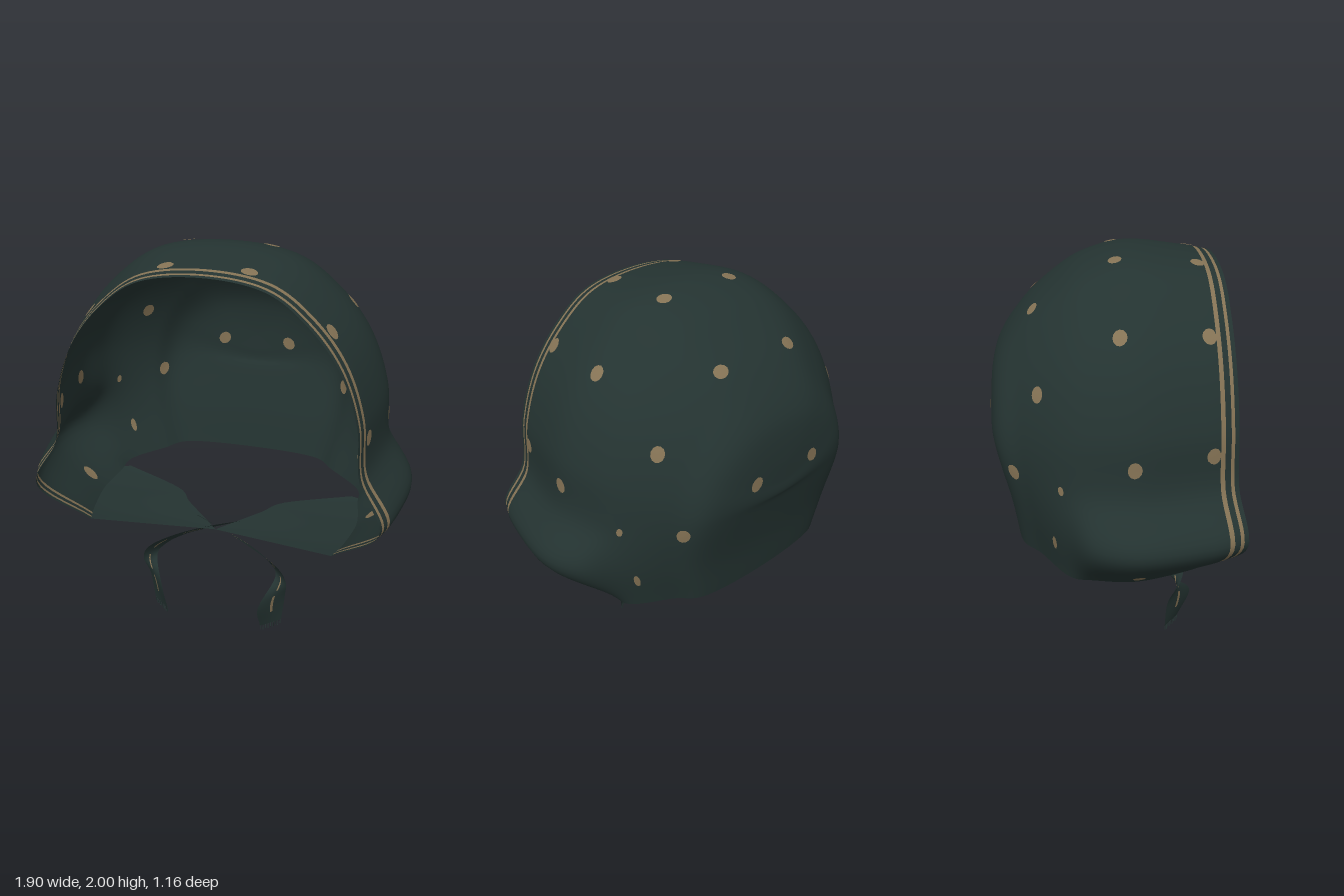
import * as THREE from 'three';
import { mergeVertices } from 'three/addons/utils/BufferGeometryUtils.js';

const cloth = new THREE.MeshStandardMaterial({ color: 0x243331, side: THREE.DoubleSide });
cloth.name = 'dark green cloth';
const tan = new THREE.MeshStandardMaterial({ color: 0x857355, side: THREE.DoubleSide });
tan.name = 'tan print';

const V = (x, y, z) => new THREE.Vector3(x, y, z);
const spline = (pts) => new THREE.CatmullRomCurve3(pts, false, 'catmullrom', 0.5);

// Arches from front rim to back: z, crown height, dome half width, brim half width, chin x, chin y
const ARCHES = [
  [0.505, 1.95, 0.73, 0.84, 0.62, 0.62],
  [0.36, 1.975, 0.77, 0.9, 0.66, 0.6],
  [0.1, 2, 0.82, 0.95, 0.7, 0.58],
  [-0.1, 1.955, 0.79, 0.89, 0.68, 0.58],
  [-0.25, 1.87, 0.72, 0.74, 0.66, 0.595],
  [-0.42, 1.72, 0.57, 0.56, 0.5, 0.62],
  [-0.55, 1.52, 0.42, 0.4, 0.37, 0.63],
  [-0.58, 1.3, 0, 0, 0, 0.63],
];
// Shared dome outline: fractions of half width, and of the drop from crown to waist
const ACROSS = [0, 0.38, 0.64, 0.84, 0.96, 1];
const DOWN = [0, 0.045, 0.2, 0.42, 0.7, 1];
const WAIST = 1.09;
const LAST = ARCHES.length - 1;

const arches = ARCHES.map(([z, crown, width, brim, chinX, chinY]) => {
  const rim = THREE.MathUtils.clamp((z - 0.1) / 0.36, 0, 1); // the rim bows forward at the brim
  const back = THREE.MathUtils.clamp((-0.12 - z) / 0.42, 0, 1); // the back tucks in at the nape
  const half = ACROSS.map((f, i) =>
    V(f * width, crown - DOWN[i] * (crown - WAIST), z + 0.035 * rim * DOWN[i] + (i === 5 ? 0.02 * back : 0)));
  half.push(V(brim, 0.85, z + 0.07 * (rim + back)), V(chinX, chinY, z - 0.04 * rim + 0.1 * back));
  const other = half.slice(1).reverse().map((q) => V(-q.x, q.y, q.z));
  return spline([...other, ...half]);
});

// Curve from rim to back at u (-1 right chin, 0 crown, 1 left chin)
function rib(u) {
  const pts = arches.map((a) => a.getPoint((u + 1) / 2));
  const q = pts[LAST - 1];
  return spline([...pts, V(-q.x, q.y, q.z)]); // mirrored point keeps the back smooth
}
const shellPoint = (u, v) => rib(u).getPoint(v / (LAST + 1));

// Build a sheet from rows of points
function sheet(rows) {
  const n = rows[0].length;
  const index = [];
  for (let r = 0; r < rows.length - 1; r++) {
    for (let c = 0; c < n - 1; c++) {
      const a = r * n + c;
      index.push(a, a + 1, a + n, a + 1, a + n + 1, a + n);
    }
  }
  const g = new THREE.BufferGeometry().setFromPoints(rows.flat());
  g.setIndex(index);
  g.computeVertexNormals();
  return g;
}

function addMesh(group, name, geometry, material) {
  const m = new THREE.Mesh(geometry, material);
  m.name = name;
  group.add(m);
  return m;
}

export function createModel() {
  const model = new THREE.Group();
  model.name = 'bonnet';

  // Hood shell, with two printed stripes following the rim
  const vs = [0, 0.07, 0.14, 0.26, 0.36, 0.46, 0.61, 0.8];
  for (let v = 1; v <= LAST; v += 0.125) vs.push(v);
  const us = Array.from({ length: 113 }, (_, i) => (i - 56) / 56);
  const ribs = us.map(rib);
  const rows = vs.map((v) => ribs.map((r) => r.getPoint(v / (LAST + 1))));
  const shell = sheet(rows);
  const perRow = (us.length - 1) * 6;
  vs.slice(1).forEach((_, r) => shell.addGroup(r * perRow, perRow, r === 2 || r === 5 ? 1 : 0));
  shell.deleteAttribute('normal');
  const hood = mergeVertices(shell, 1e-4);
  hood.computeVertexNormals();
  addMesh(model, 'hood', hood, [cloth, tan]);

  // Printed dots, laid on both faces of the cloth at the nearest shell point
  const dots = new THREE.Group();
  dots.name = 'dots';
  model.add(dots);
  function addDot(x, y, z, rx = 0.032, ry = 0.038) {
    const target = V(x, y, z);
    let best = Infinity, u = 0, v = 0;
    rows.forEach((row, r) => row.forEach((p, c) => {
      const d = p.distanceToSquared(target);
      if (d < best) { best = d; u = us[c]; v = vs[r]; }
    }));
    v = THREE.MathUtils.clamp(v, 0.1, LAST - 0.1);
    u = THREE.MathUtils.clamp(u, -0.96, 0.96);
    const e = 0.02;
    const du = shellPoint(u + e, v).sub(shellPoint(u - e, v)).divideScalar(2 * e);
    const dv = shellPoint(u, v + e).sub(shellPoint(u, v - e)).divideScalar(2 * e);
    const normal = du.clone().cross(dv).normalize();
    for (const side of [-1, 1]) {
      const rings = [0, 0.5, 1].map((k) => Array.from({ length: 13 }, (_, i) => {
        const a = (i / 12) * Math.PI * 2;
        return shellPoint(u + (k * ry * Math.cos(a)) / du.length(), v + (k * rx * Math.sin(a)) / dv.length())
          .addScaledVector(normal, side * 0.004);
      }));
      addMesh(dots, 'dot', sheet(rings), tan);
    }
  }

  for (const s of [-1, 1]) {
    addDot(s * 0.2, 1.28, -0.57);
    addDot(s * 0.21, 1.78, -0.37);
    addDot(s * 0.2, 1.97, 0.02);
    addDot(s * 0.62, 1.75, 0.01);
    addDot(s * 0.8, 1.24, 0.06);
    addDot(s * 0.57, 1.5, -0.35);
    addDot(s * 0.51, 1.1, -0.45);
    addDot(s * 0.74, 1.1, -0.25, 0.015, 0.022);
    addDot(s * 0.65, 0.78, -0.25, 0.015, 0.04);
    addDot(s * 0.76, 0.65, 0.1, 0.03, 0.05);
    // dots touching the inner stripe
    addDot(s * 0.19, 1.95, 0.405);
    addDot(s * 0.56, 1.74, 0.41);
    addDot(s * 0.75, 1.26, 0.42);

    // Chin flap, from the lower edge in to the tie
    const inner = spline([V(0, 0.56, 0.31), V(0.06, 0.565, 0.25), V(0.2, 0.58, 0.12), V(0.3, 0.58, 0), V(0.64, 0.585, -0.15)]);
    const flapRows = Array.from({ length: 25 }, (_, i) => {
      const a = shellPoint(1, (i / 24) * 3.3);
      const b = inner.getPoint(i / 24);
      return Array.from({ length: 9 }, (_, j) => {
        const p = a.clone().lerp(b, j / 8);
        return V(s * p.x, p.y, p.z);
      });
    });
    addMesh(model, s > 0 ? 'leftChinFlap' : 'rightChinFlap', sheet(flapRows), cloth);

    // Hanging ribbon, crossing over from the opposite flap
    const outer = spline([V(-0.12, 0.585, 0.24), V(0.04, 0.57, 0.31), V(0.2, 0.53, 0.37), V(0.34, 0.44, 0.38),
      V(0.387, 0.34, 0.36), V(0.375, 0.2, 0.3), V(0.358, 0.03, 0.29)]);
    const innerEdge = spline([V(-0.12, 0.56, 0.2), V(0.04, 0.535, 0.27), V(0.17, 0.48, 0.28), V(0.28, 0.41, 0.3),
      V(0.325, 0.33, 0.32), V(0.26, 0.2, 0.43), V(0.26, 0.03, 0.37)]);
    const ribbonPoint = (k, f, dz = 0) => {
      const p = outer.getPoint(k).lerp(innerEdge.getPoint(k), f);
      return V(s * p.x, p.y, p.z + s * 0.004 + dz);
    };
    const strip = (f0, f1, k0, k1, dz) => sheet(Array.from({ length: 37 }, (_, i) =>
      [0, 1, 2, 3].map((j) => ribbonPoint(k0 + ((k1 - k0) * i) / 36, f0 + ((f1 - f0) * j) / 3, dz))));
    addMesh(model, s > 0 ? 'leftTie' : 'rightTie', strip(0, 1, 0, 1, 0), cloth);

    // Printed dashes along the ribbon
    for (const k of [0.2, 0.42, 0.63, 0.79]) {
      for (const dz of [-0.004, 0.004]) addMesh(model, 'tieDash', strip(0.42, 0.52, k, k + 0.12, dz), tan);
    }

    // Frayed threads at the ribbon's end
    for (let i = 0; i < 9; i++) {
      const p = ribbonPoint(1, 0.04 + i * 0.115);
      const len = 0.024 + 0.006 * (i % 2);
      const thread = addMesh(model, 'fringeThread', new THREE.BoxGeometry(0.004, len, 0.004), cloth);
      thread.position.set(p.x, 0.03 - len / 2, p.z);
    }
  }
  return model;
}
